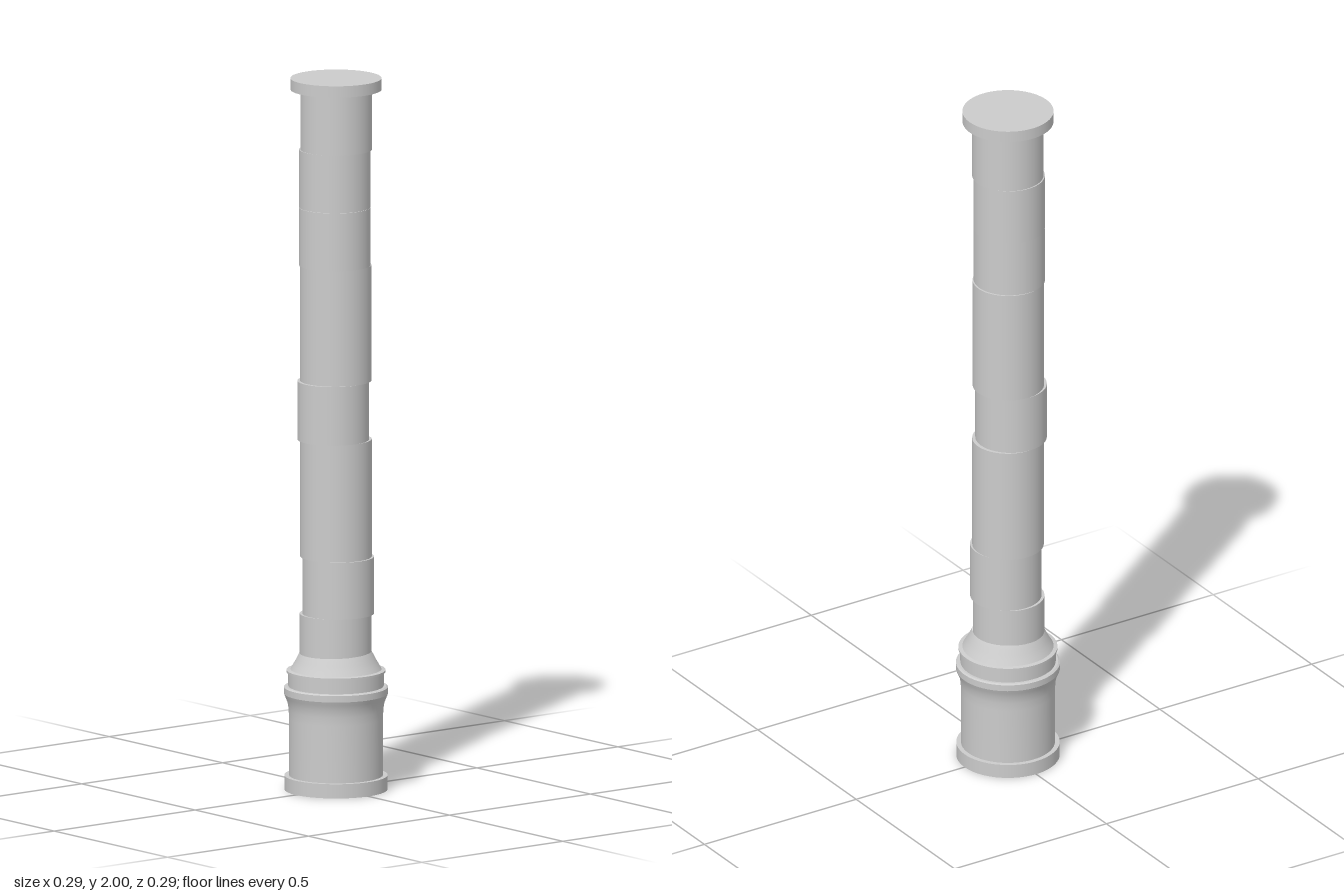
import * as THREE from 'three';

const SIDES = 64;
const material = new THREE.MeshStandardMaterial({ color: 0xcccccc });

export function createModel() {
  const column = new THREE.Group();
  column.name = 'column';

  // Closed drum between two heights, shifted slightly off axis
  function drum(name, radius, y0, y1, dx = 0, dz = 0) {
    const mesh = new THREE.Mesh(new THREE.CylinderGeometry(radius, radius, y1 - y0, SIDES), material);
    mesh.name = name;
    mesh.position.set(dx, (y0 + y1) / 2, dz);
    column.add(mesh);
  }

  // One smooth run per list of [radius, y]; hard edges fall between runs
  function turned(name, runs) {
    const group = new THREE.Group();
    group.name = name;
    for (const run of runs) {
      const points = run.map(([r, y]) => new THREE.Vector2(r, y));
      group.add(new THREE.Mesh(new THREE.LatheGeometry(points, SIDES), material));
    }
    column.add(group);
  }

  // Hollow foot ring and pedestal with a flared rim
  turned('pedestal', [
    [[0.103, 0], [0.143, 0]],
    [[0.143, 0], [0.143, 0.04]],
    [[0.143, 0.04], [0.13, 0.04]],
    [[0.13, 0.04], [0.13, 0.2], [0.131, 0.225], [0.134, 0.245], [0.14, 0.26], [0.144, 0.27]],
    [[0.144, 0.27], [0.144, 0.288]],
    [[0.144, 0.288], [0.139, 0.291]],
    [[0.139, 0.291], [0.132, 0.291]],
  ]);

  // Open socket inside the pedestal
  turned('pedestalSocket', [
    [[0.103, 0.34], [0.103, 0]],
    [[0.0, 0.34], [0.103, 0.34]],
  ]);

  // Collar with a thin lip, curving in to meet the shaft
  turned('collar', [
    [[0.132, 0.288], [0.132, 0.33]],
    [[0.132, 0.33], [0.137, 0.33]],
    [[0.137, 0.33], [0.137, 0.336]],
    [[0.137, 0.336], [0.126, 0.338]],
    [[0.126, 0.338], [0.119, 0.35], [0.111, 0.364], [0.104, 0.378], [0.098, 0.388]],
  ]);

  // Shaft drums: [bottom, top, x shift, z shift]
  const drums = [
    [0.345, 0.495, 0, 0.002],
    [0.495, 0.655, 0.006, -0.003],
    [0.655, 0.985, 0, 0],
    [0.985, 1.15, 0, 0.01],
    [1.15, 1.475, 0, 0.001],
    [1.475, 1.638, 0.002, 0.006],
    [1.638, 1.8, -0.001, 0.003],
    [1.8, 1.97, 0.002, 0.001],
  ];
  drums.forEach(([y0, y1, dx, dz], i) => drum(`shaftDrum${i + 1}`, 0.099, y0, y1, dx, dz));

  // Flat cap
  drum('cap', 0.126, 1.968, 2);

  return column;
}
